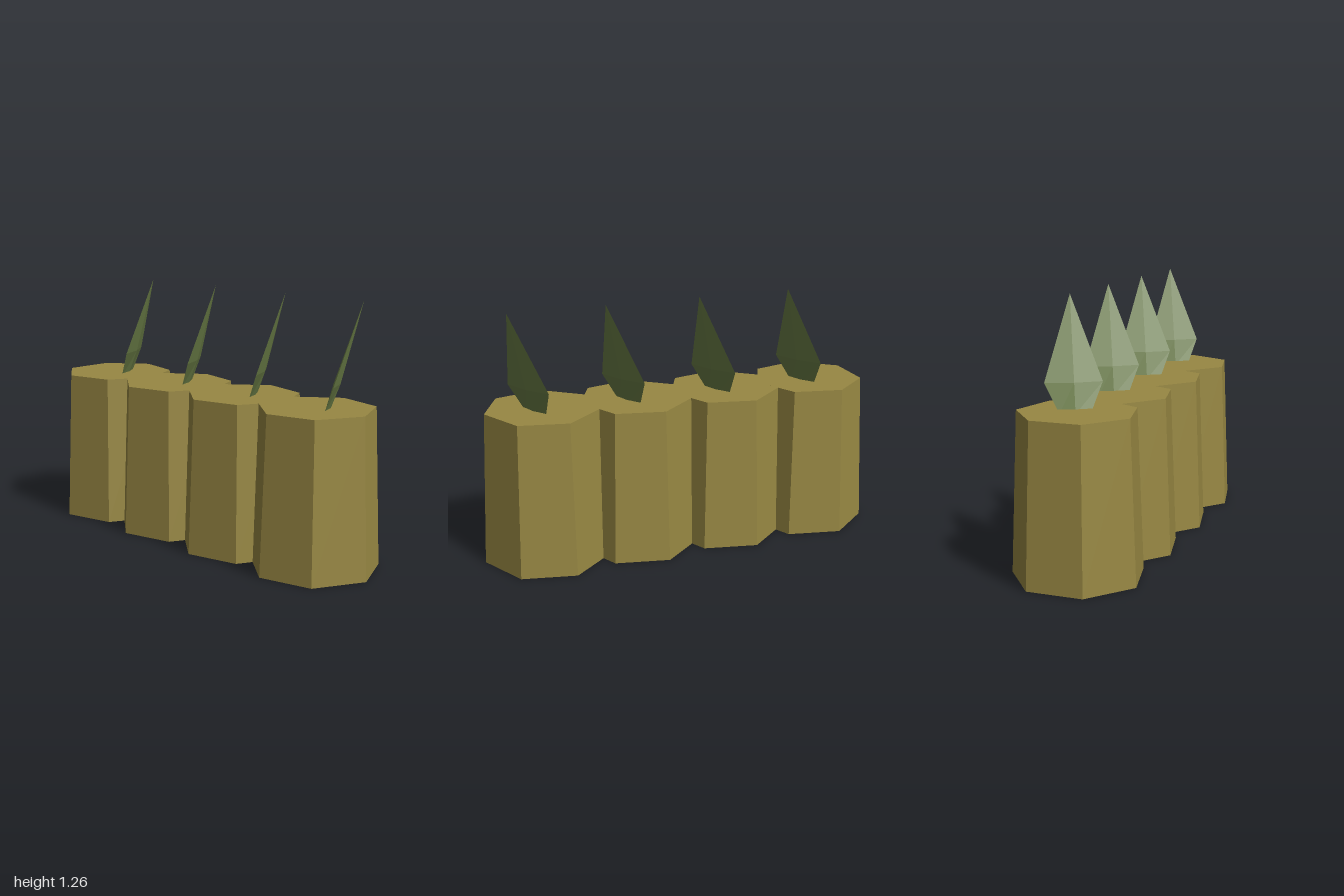
import * as THREE from 'three';

const SPACING = 0.47, HEIGHT = 0.76, FIRST_X = -0.72;

// Leaning blade: thin diamond cross-sections, closed to a point
function bladeGeometry() {
  // height, one edge (x, z), other edge (x, z), half thickness
  const sections = [
    [0.74, 0.005, -0.09, 0.07, 0.035, 0.01],
    [0.875, 0.005, -0.163, 0.145, 0.063, 0.016],
    [1.26, 0.174, -0.107, 0.174, -0.107, 0],
  ];
  const rings = sections.map(([y, ax, az, bx, bz, t]) => {
    const mx = (ax + bx) / 2, mz = (az + bz) / 2;
    const nx = 0.85 * t, nz = -0.53 * t;
    return [[ax, y, az], [mx - nx, y, mz - nz], [bx, y, bz], [mx + nx, y, mz + nz]];
  });
  const pos = [];
  const tri = (...points) => points.forEach((p) => pos.push(...p));
  for (let i = 0; i < 4; i++) {
    const j = (i + 1) % 4;
    const [base, mid, top] = rings;
    tri(base[i], base[j], mid[j]);
    tri(base[i], mid[j], mid[i]);
    tri(mid[i], mid[j], top[0]);
  }
  const [a, b, c, d] = rings[0];
  tri(a, c, b);
  tri(a, d, c);
  const geometry = new THREE.BufferGeometry();
  geometry.setAttribute('position', new THREE.Float32BufferAttribute(pos, 3));
  geometry.computeVertexNormals();
  return geometry;
}

export function createModel() {
  const model = new THREE.Group();
  model.name = 'spikedPostRow';
  const wood = new THREE.MeshStandardMaterial({ color: 0x988843, flatShading: true });
  wood.name = 'ochre';
  const leaf = new THREE.MeshStandardMaterial({ color: 0x6d8048, flatShading: true });
  leaf.name = 'leaf green';

  // Tapered seven-sided post with one corner towards +x
  const postGeometry = new THREE.CylinderGeometry(0.279, 0.31, HEIGHT, 7, 1, false, Math.PI / 2);
  const blade = bladeGeometry();

  for (let i = 0; i < 4; i++) {
    const segment = new THREE.Group();
    segment.name = `segment${i + 1}`;
    segment.position.x = FIRST_X + i * SPACING;

    const post = new THREE.Mesh(postGeometry, wood);
    post.name = 'post';
    post.position.y = HEIGHT / 2;

    const spike = new THREE.Mesh(blade, leaf);
    spike.name = 'leafBlade';

    segment.add(post, spike);
    model.add(segment);
  }
  return model;
}
